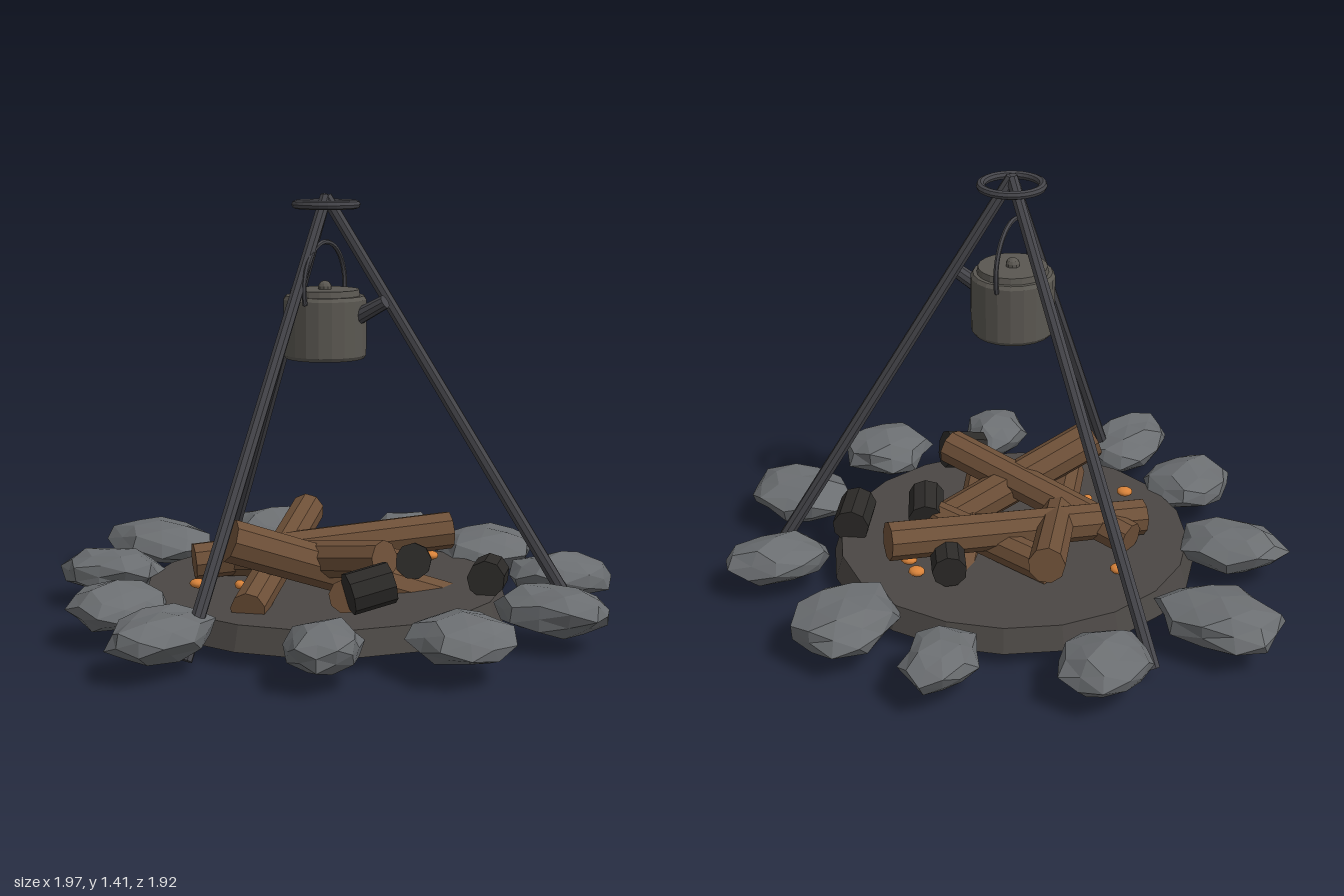
import * as THREE from 'three';

const mat = (color, flatShading = true) => new THREE.MeshStandardMaterial({ color, flatShading });
const MATS = {
  ash: mat(0x4b4744), stone: mat(0x6b6e71), wood: mat(0x6e5038), char: mat(0x2c2a28),
  iron: mat(0x45454a), pot: mat(0x5a5751), ember: mat(0xd9833a, false),
};
const UP = new THREE.Vector3(0, 1, 0);
const CX = 0.01, CZ = -0.025; // tripod axis

function add(parent, name, geo, material, x = 0, y = 0, z = 0) {
  const m = new THREE.Mesh(geo, material);
  m.name = name;
  m.position.set(x, y, z);
  parent.add(m);
  return m;
}

// cylinder running from point a to point b
function rod(parent, name, a, b, r, sides, material, rEnd = r) {
  const p = new THREE.Vector3(...a), q = new THREE.Vector3(...b);
  const d = q.clone().sub(p);
  const m = add(parent, name, new THREE.CylinderGeometry(rEnd, r, d.length(), sides), material);
  m.position.copy(p).add(q).multiplyScalar(0.5);
  m.quaternion.setFromUnitVectors(UP, d.normalize());
  return m;
}

// faceted boulder, every corner pushed in or out by a rule of its direction
function stoneGeometry(seed, rx, ry, rz) {
  const g = new THREE.IcosahedronGeometry(1, 1);
  const p = g.attributes.position;
  for (let i = 0; i < p.count; i++) {
    const x = p.getX(i), y = p.getY(i), z = p.getZ(i);
    const k = 0.97 + 0.1 * Math.sin(5.1 * x + 3.7 * y + 4.3 * z + seed * 2.4);
    p.setXYZ(i, x * k * rx, y * k * ry, z * k * rz);
  }
  g.computeVertexNormals();
  return g;
}

export function createModel() {
  const root = new THREE.Group();
  root.name = 'campfire';

  // ash bed
  add(root, 'ashBed', new THREE.CylinderGeometry(0.59, 0.615, 0.08, 20), MATS.ash, 0.005, 0.1, -0.025);

  // ring of stones: x, z, half width, half depth, turn
  const stones = new THREE.Group();
  stones.name = 'stoneRing';
  root.add(stones);
  [
    [-0.06, -0.81, 0.12, 0.155, 0], [0.31, -0.71, 0.165, 0.195, -0.25],
    [0.68, -0.46, 0.185, 0.12, 0.45], [0.805, -0.03, 0.19, 0.147, 0],
    [0.67, 0.39, 0.165, 0.16, 0], [0.34, 0.65, 0.12, 0.15, 0.3],
    [-0.15, 0.76, 0.13, 0.2, -0.2], [-0.445, 0.54, 0.16, 0.165, 0.2],
    [-0.71, 0.16, 0.185, 0.13, 0.15], [-0.79, -0.285, 0.215, 0.155, -0.15],
    [-0.53, -0.65, 0.155, 0.16, 0.3],
  ].forEach(([x, z, rx, rz, turn], i) => {
    add(stones, 'stone', stoneGeometry(i, rx, 0.078, rz), MATS.stone, x, 0.14, z).rotation.y = turn;
  });

  // heap of logs: start, end, radius
  const logs = new THREE.Group();
  logs.name = 'logPile';
  root.add(logs);
  [
    [[-0.14, 0.345, 0.36], [0.385, 0.075, -0.185], 0.07],
    [[0.29, 0.265, -0.42], [-0.4, 0.2, 0.14], 0.065],
    [[0.33, 0.3, 0.205], [-0.4, 0.18, 0.01], 0.062],
    [[-0.255, 0.285, -0.41], [-0.03, 0.15, 0.44], 0.06],
    [[0.06, 0.075, -0.4], [0.25, 0.2, 0.32], 0.057],
    [[-0.22, 0.18, -0.26], [0.28, 0.2, -0.1], 0.057],
  ].forEach(([a, b, r]) => rod(logs, 'log', a, b, r, 9, MATS.wood, r * 0.95));

  // charred stubs
  [
    [[0.28, 0.22, 0.36], [0.38, 0.25, 0.27], 0.067],
    [[0.51, 0.18, -0.25], [0.55, 0.19, -0.1], 0.062],
    [[0.27, 0.21, -0.16], [0.32, 0.24, -0.04], 0.06],
    [[0.07, 0.2, -0.43], [0.13, 0.21, -0.31], 0.057],
  ].forEach(([a, b, r]) => rod(logs, 'charredStub', a, b, r, 9, MATS.char));

  // glowing embers
  [[-0.41, 0.16, -0.15], [-0.28, 0.18, 0.32], [0.24, 0.18, -0.37], [-0.17, 0.17, 0.24], [0.2, 0.16, -0.4]]
    .forEach((p, i) => {
      add(root, 'ember', new THREE.SphereGeometry(0.028, 10, 7), MATS.ember, ...p)
        .scale.set(i === 3 ? 0.6 : 1, 0.55, i === 3 ? 0.6 : 0.9);
    });

  // tripod legs and top ring
  const tripod = new THREE.Group();
  tripod.name = 'tripod';
  root.add(tripod);
  [[-0.085, 0.73], [-0.645, -0.515], [0.765, -0.345]].forEach(([x, z]) =>
    rod(tripod, 'tripodLeg', [x, 0.06, z], [CX, 1.415, CZ], 0.023, 8, MATS.iron, 0.02));
  add(tripod, 'topRing', new THREE.TorusGeometry(0.098, 0.014, 8, 24), MATS.iron, CX, 1.39, CZ)
    .rotation.x = Math.PI / 2;

  // kettle: body, lid, knob, spout and bail handle
  const kettle = new THREE.Group();
  kettle.name = 'kettle';
  kettle.position.set(CX, 0, CZ + 0.008);
  root.add(kettle);
  const body = [[0, 0.893], [0.128, 0.893], [0.136, 0.905], [0.136, 1.085], [0.128, 1.097], [0, 1.097]];
  add(kettle, 'kettleBody', new THREE.LatheGeometry(body.map(p => new THREE.Vector2(...p)), 20), MATS.pot);
  add(kettle, 'lid', new THREE.CylinderGeometry(0.112, 0.116, 0.022, 20), MATS.pot, 0, 1.106, 0);
  add(kettle, 'lidKnob', new THREE.SphereGeometry(0.023, 10, 7), MATS.pot, 0, 1.122, 0);
  rod(kettle, 'spout', [0.115, 1.03, 0], [0.215, 1.085, 0], 0.027, 10, MATS.iron, 0.023);
  const arc = Math.PI * 1.2;
  const bail = new THREE.TorusGeometry(0.148, 0.008, 6, 24, arc).rotateZ((Math.PI - arc) / 2).rotateY(Math.PI / 2);
  add(kettle, 'bailHandle', bail, MATS.iron, 0, 1.122, 0);

  return root;
}
